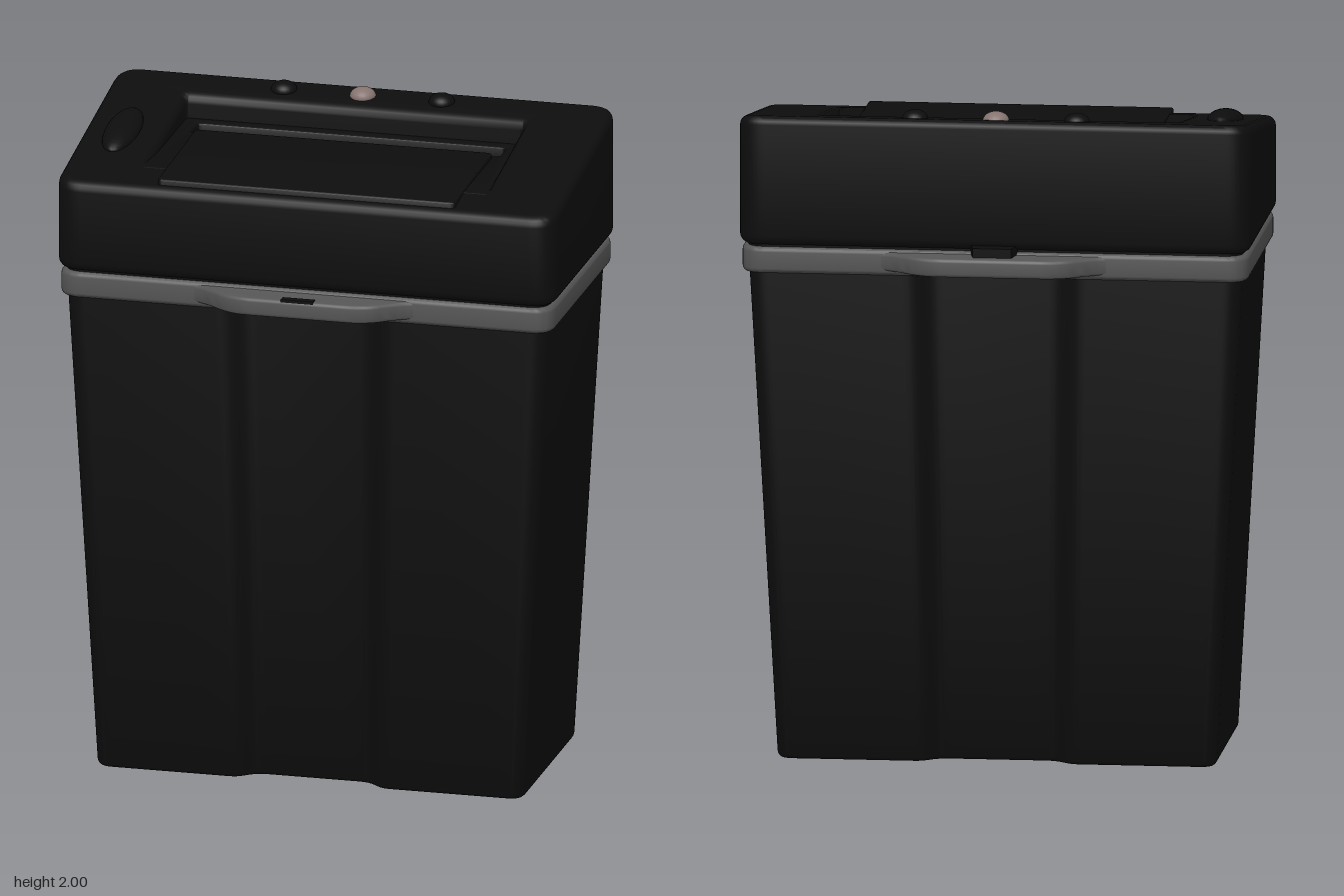
import * as THREE from 'three';
import { toCreasedNormals } from 'three/addons/utils/BufferGeometryUtils.js';

const black = new THREE.MeshStandardMaterial({ color: 0x0d0d0d });
const grey = new THREE.MeshStandardMaterial({ color: 0x555555 });
const rose = new THREE.MeshStandardMaterial({ color: 0x85736f });

// Rounded rectangle (half sizes w, d); the long sides can swell (bulge > 0) or dip (bulge < 0)
function outline(Type, w, d, r, bulge = 0, flat = 0, end = 0, cy = 0) {
  const s = new Type();
  const wave = (k) => {
    if (!bulge) return;
    const y = cy - k * d, out = cy - k * (d + bulge), mid = (flat + end) / 2;
    s.lineTo(-k * end, y);
    s.bezierCurveTo(-k * mid, y, -k * mid, out, -k * flat, out);
    s.lineTo(k * flat, out);
    s.bezierCurveTo(k * mid, out, k * mid, y, k * end, y);
  };
  s.moveTo(-w + r, cy - d);
  wave(1);
  s.lineTo(w - r, cy - d);
  s.quadraticCurveTo(w, cy - d, w, cy - d + r);
  s.lineTo(w, cy + d - r);
  s.quadraticCurveTo(w, cy + d, w - r, cy + d);
  wave(-1);
  s.lineTo(-w + r, cy + d);
  s.quadraticCurveTo(-w, cy + d, -w, cy + d - r);
  s.lineTo(-w, cy - d + r);
  s.quadraticCurveTo(-w, cy - d, -w + r, cy - d);
  return s;
}

// Extrudes an outline upwards from y0 to y1, with an optional rule that moves each vertex
function slab(shape, y0, y1, bevel, rule) {
  const g = new THREE.ExtrudeGeometry(shape, {
    depth: y1 - y0 - 2 * bevel, bevelEnabled: bevel > 0, bevelSize: bevel,
    bevelThickness: bevel, bevelOffset: -bevel, bevelSegments: 4, curveSegments: 10,
  });
  g.rotateX(-Math.PI / 2).translate(0, y0 + bevel, 0);
  if (rule) {
    const p = g.attributes.position, v = new THREE.Vector3();
    for (let i = 0; i < p.count; i++) {
      rule(v.fromBufferAttribute(p, i));
      p.setXYZ(i, v.x, v.y, v.z);
    }
  }
  return toCreasedNormals(g, 0.6);
}

const lidTop = (z) => 1.925 - 0.15 * z;

export function createModel() {
  const model = new THREE.Group();
  const add = (name, geometry, material = black, x = 0, y = 0, z = 0) => {
    const mesh = new THREE.Mesh(geometry, material);
    mesh.name = name;
    mesh.position.set(x, y, z);
    model.add(mesh);
    return mesh;
  };

  // Bin tapering towards the floor, with a shallow channel front and back
  add('bin', slab(outline(THREE.Shape, 0.747, 0.382, 0.06, -0.055, 0.16, 0.28), 0, 1.53, 0.02, (v) => {
    const t = 1 - v.y / 1.53;
    v.x *= 1 - 0.11 * t;
    v.z *= 1 - 0.13 * t;
  }));

  // Rim band with grip plates
  add('rimBand', slab(outline(THREE.Shape, 0.767, 0.39, 0.07), 1.5, 1.58, 0.015), grey);
  add('handles', slab(outline(THREE.Shape, 0.75, 0.383, 0.06, 0.092, 0.15, 0.39), 1.515, 1.572, 0.012), grey);
  add('seam', slab(outline(THREE.Shape, 0.75, 0.375, 0.06), 1.56, 1.61, 0));
  add('frontCatch', new THREE.BoxGeometry(0.1, 0.012, 0.025), black, 0, 1.569, 0.4605);
  const tab = new THREE.Shape([[-0.072, 0.37], [0.072, 0.37], [0.058, 0.44], [-0.058, 0.44]]
    .map(([x, y]) => new THREE.Vector2(x, y)));
  add('backCatch', slab(tab, 1.55, 1.6, 0));

  // Cutting head with sloping top and an opening for the feed tray
  const head = outline(THREE.Shape, 0.775, 0.398, 0.08);
  head.holes.push(outline(THREE.Path, 0.525, 0.225, 0.015, 0, 0, 0, 0.01));
  add('head', slab(head, 1.586, 1.925, 0.028, (v) => {
    if (v.y > 1.75) v.y += lidTop(v.z) - 1.925;
  }));

  // Level tray floor with the paper slot
  const floor = outline(THREE.Shape, 0.54, 0.25, 0.01, 0, 0, 0, -0.01);
  floor.holes.push(outline(THREE.Path, 0.48, 0.042, 0.015, 0, 0, 0, 0.15));
  add('trayFloor', slab(floor, 1.83, 1.888, 0.006));
  add('slotBottom', new THREE.BoxGeometry(1, 0.02, 0.12), black, 0, 1.83, -0.15);

  // Feed panel, falling away towards the front
  add('feedPanel', slab(outline(THREE.Shape, 0.462, 0.23, 0.015, 0, 0, 0, -0.135), 1.85, 1.902, 0.006, (v) => {
    if (v.z > 0.2) v.y -= (v.z - 0.2) * 0.09;
  }));

  // Oval pad on the right
  const pad = add('ovalPad', new THREE.SphereGeometry(1, 32, 16), black, -0.655, lidTop(0.03), 0.03);
  pad.scale.set(0.053, 0.033, 0.145);
  pad.rotation.x = 0.149;

  // Row of buttons at the back
  for (const x of [-0.245, 0, 0.245]) {
    const button = add(x ? 'button' : 'indicatorLight', new THREE.SphereGeometry(0.04, 24, 16),
      x ? black : rose, x, 1.972, -0.325);
    button.scale.y = 0.7;
  }
  return model;
}
